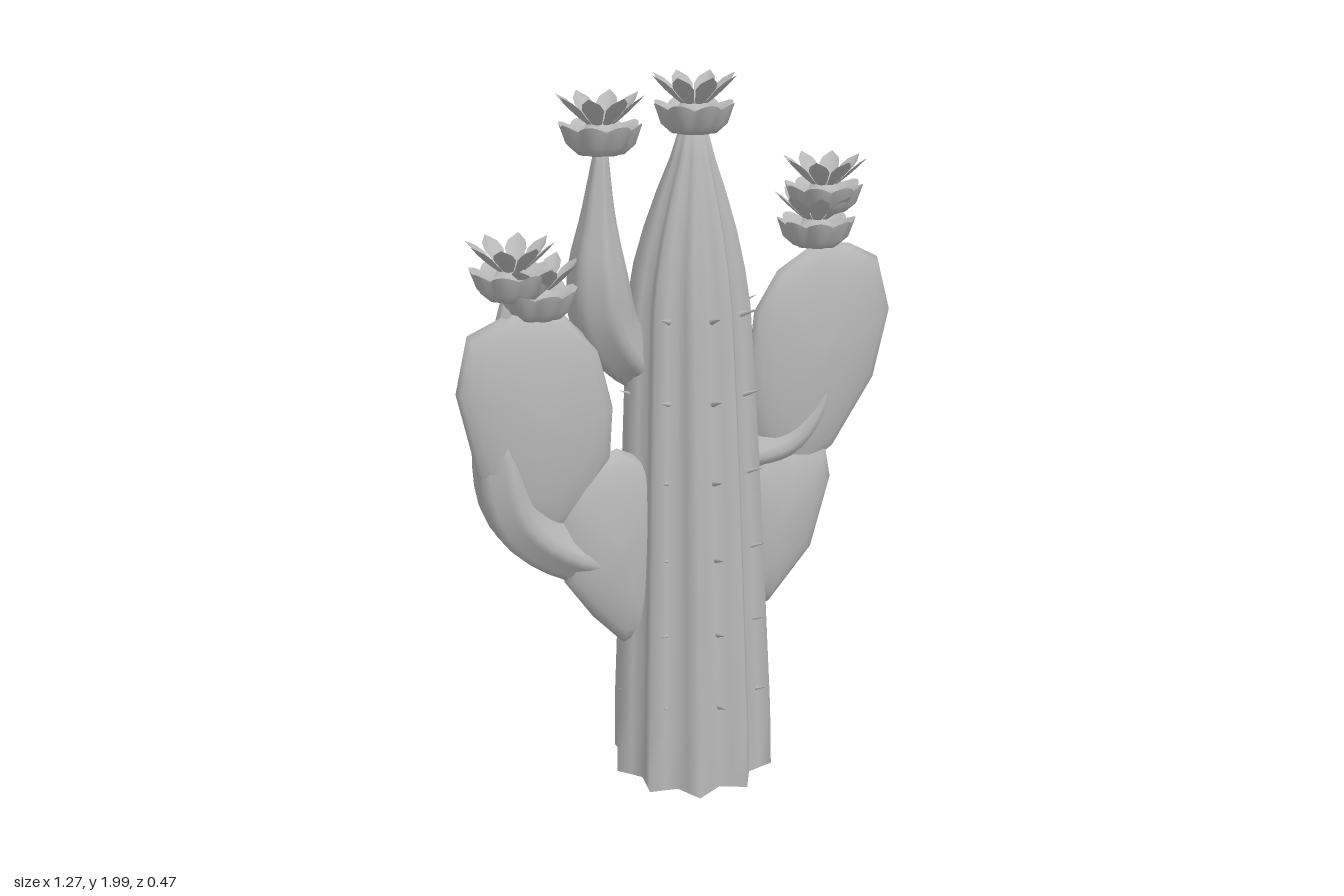
import * as THREE from 'three';
import { mergeGeometries } from 'three/addons/utils/BufferGeometryUtils.js';

const V = (x, y, z = 0) => new THREE.Vector3(x, y, z);

// Skin a stack of closed rings and cap both ends
function loft(rings) {
  const n = rings[0].length, m = rings.length, pos = [], idx = [];
  rings.forEach(r => r.forEach(p => pos.push(p.x, p.y, p.z)));
  for (let i = 0; i < m - 1; i++) {
    for (let j = 0; j < n; j++) {
      const k = (j + 1) % n, a = i * n + j, b = i * n + k, c = b + n, d = a + n;
      idx.push(a, b, c, a, c, d);
    }
  }
  for (const end of [0, m - 1]) {
    const mid = rings[end].reduce((s, p) => s.add(p), V(0, 0)).divideScalar(n);
    const ci = pos.length / 3;
    pos.push(mid.x, mid.y, mid.z);
    for (let j = 0; j < n; j++) {
      const a = end * n + j, b = end * n + (j + 1) % n;
      if (end) idx.push(ci, a, b); else idx.push(ci, b, a);
    }
  }
  const g = new THREE.BufferGeometry();
  g.setAttribute('position', new THREE.Float32BufferAttribute(pos, 3));
  g.setIndex(idx);
  g.computeVertexNormals();
  return g;
}

// Trunk rows: height, rib radius, z drift, rib depth
const trunkRows = [
  [0.01, 0.24, 0, 0.19], [0.01, 0.24, 0, 0.19], [0.2, 0.235, -0.002, 0.19], [0.45, 0.222, -0.006, 0.19],
  [0.75, 0.207, -0.012, 0.19], [1.0, 0.194, -0.018, 0.19], [1.25, 0.18, -0.026, 0.19],
  [1.4, 0.17, -0.03, 0.19], [1.5, 0.153, -0.028, 0.19], [1.6, 0.127, -0.02, 0.18],
  [1.7, 0.094, -0.012, 0.16], [1.79, 0.06, -0.004, 0.12], [1.87, 0.036, 0, 0.06]];
const trunkX = 0.025;

function trunkGeometry() {
  const depth = [0, 0.62, 1, 0.62];
  return loft(trunkRows.map(([y, r, z, d]) => Array.from({ length: 40 }, (_, j) => {
    const a = (j / 40) * Math.PI * 2 + Math.PI / 10, rr = r * (1 - d * depth[j % 4]);
    return V(trunkX + rr * Math.sin(a), y, z + rr * Math.cos(a));
  })));
}

// Ribbed, tapering arm along a spline of [x, y, z, radius]
function armGeometry(knots) {
  const curve = new THREE.CatmullRomCurve3(knots.map(k => V(k[0], k[1], k[2])));
  const radii = new THREE.CatmullRomCurve3(knots.map((k, i) => V(i, k[3])));
  const rings = [], zAxis = V(0, 0, 1), steps = 22;
  for (let i = 0; i <= steps; i++) {
    const t = i / steps, c = curve.getPoint(t), tan = curve.getTangent(t).setZ(0).normalize();
    const side = tan.clone().cross(zAxis);
    const r = radii.getPoint(t).y;
    rings.push(Array.from({ length: 24 }, (_, j) => {
      const a = (j / 24) * Math.PI * 2, rr = r * (0.96 + 0.07 * Math.cos(a * 6));
      return c.clone().addScaledVector(zAxis, 1.25 * rr * Math.cos(a)).addScaledVector(side, rr * Math.sin(a));
    }));
  }
  return loft(rings);
}

// Flat, domed pad from a counter-clockwise outline
function padGeometry(outline, thick) {
  const mid = outline.reduce((s, p) => [s[0] + p[0] / outline.length, s[1] + p[1] / outline.length], [0, 0]);
  const rings = [];
  for (let i = -5; i <= 5; i++) {
    const a = (i / 5) * 1.45, s = Math.cos(a);
    rings.push(outline.map(p => V(mid[0] + (p[0] - mid[0]) * s, mid[1] + (p[1] - mid[1]) * s, thick * Math.sin(a))));
  }
  return loft(rings);
}

// Scalloped lower cup of a flower: rows of radius and height
function cupGeometry() {
  const rows = [[0.03, 0], [0.062, 0.004], [0.09, 0.028], [0.108, 0.075], [0.108, 0.075], [0.085, 0.068], [0.045, 0.05], [0.035, 0.08]];
  return loft(rows.map(([r, y], i) => Array.from({ length: 48 }, (_, j) => {
    const a = (j / 48) * Math.PI * 2, lobe = Math.abs(Math.cos(a * 4));
    const lift = i === 3 || i === 4 ? 0.014 * (lobe - 0.6) : 0;
    const rr = r * (i > 0 && i < 6 ? 0.87 + 0.13 * lobe : 1);
    return V(rr * Math.sin(a), y + lift, rr * Math.cos(a));
  })));
}

// Ring of eight pointed, cupped petals
function petalsGeometry() {
  const rows = [[0.028, 0.072, 0.011], [0.05, 0.088, 0.019], [0.073, 0.108, 0.028], [0.092, 0.126, 0.023], [0.114, 0.149, 0.001]];
  const petal = new THREE.PlaneGeometry(1, 1, 4, 4), p = petal.attributes.position;
  for (let i = 0; i < p.count; i++) {
    const [r, y, w] = rows[Math.floor(i / 5)], u = (i % 5) / 2 - 1;
    p.setXYZ(i, u * w, y + 0.35 * w * u * u, r);
  }
  petal.computeVertexNormals();
  return mergeGeometries(Array.from({ length: 8 }, (_, k) => petal.clone().rotateY(k * Math.PI / 4)));
}

export function createModel() {
  const model = new THREE.Group();
  model.name = 'cactus';
  const grey = new THREE.MeshStandardMaterial({ color: 0xb8b8b8, side: THREE.DoubleSide });
  grey.name = 'plain grey';
  const add = (name, geometry, parent = model) => {
    const mesh = new THREE.Mesh(geometry, grey);
    mesh.name = name;
    parent.add(mesh);
    return mesh;
  };

  add('trunk', trunkGeometry());

  // Arms
  add('leftArm', armGeometry([[0.1, 0.92, -0.09, 0.06], [0.2, 0.94, -0.06, 0.08], [0.32, 0.98, -0.045, 0.085],
    [0.405, 1.1, -0.04, 0.08], [0.43, 1.28, -0.035, 0.055], [0.4, 1.55, -0.01, 0.018]]));
  add('rightArm', armGeometry([[-0.06, 0.67, -0.11, 0.045], [-0.16, 0.675, -0.06, 0.078], [-0.34, 0.735, -0.045, 0.085],
    [-0.475, 0.86, -0.04, 0.088], [-0.515, 1.03, -0.035, 0.075], [-0.52, 1.2, -0.03, 0.045], [-0.48, 1.49, -0.01, 0.014]]));
  add('rightUpperArm', armGeometry([[-0.05, 1.19, -0.12, 0.035], [-0.12, 1.23, -0.08, 0.07], [-0.21, 1.36, -0.05, 0.085],
    [-0.235, 1.5, -0.03, 0.075], [-0.235, 1.66, -0.015, 0.042], [-0.225, 1.83, -0.01, 0.016]]));

  // Pads
  add('leftUpperPad', padGeometry([[0.4, 1.54], [0.28, 1.47], [0.21, 1.36], [0.19, 1.17], [0.21, 1.0], [0.31, 0.87],
    [0.37, 0.87], [0.46, 0.93], [0.59, 1.13], [0.635, 1.33], [0.59, 1.48], [0.5, 1.525]], 0.065));
  add('leftLowerPad', padGeometry([[0.34, 0.98], [0.22, 0.95], [0.16, 0.82], [0.16, 0.62], [0.2, 0.5], [0.26, 0.47],
    [0.4, 0.63], [0.46, 0.85], [0.44, 0.95]], 0.065));
  add('rightUpperPad', padGeometry([[-0.34, 1.41], [-0.47, 1.435], [-0.6, 1.38], [-0.637, 1.23], [-0.59, 1.0], [-0.48, 0.82],
    [-0.38, 0.8], [-0.28, 0.88], [-0.22, 1.0], [-0.21, 1.14], [-0.25, 1.31]], 0.065));
  add('rightLowerPad', padGeometry([[-0.2, 1.02], [-0.33, 0.98], [-0.38, 0.85], [-0.36, 0.65], [-0.28, 0.53], [-0.19, 0.43],
    [-0.13, 0.45], [-0.07, 0.65], [-0.06, 0.85], [-0.12, 0.98]], 0.065));

  // Flowers: x, base height, z, turn
  const cup = cupGeometry(), petals = petalsGeometry();
  const spots = [[0.027, 1.852, 0, 0], [-0.228, 1.812, -0.005, 0.2], [0.415, 1.618, -0.005, 0.1], [0.395, 1.525, -0.005, 0.4],
    [-0.475, 1.462, -0.005, 0.3], [-0.405, 1.405, -0.01, 0]];
  for (const [x, y, z, turn] of spots) {
    const flower = new THREE.Group();
    flower.name = 'flower';
    add('flowerCup', cup, flower);
    add('flowerPetals', petals, flower);
    flower.position.set(x, y, z);
    flower.rotation.y = turn;
    model.add(flower);
  }

  // Spines in eight columns, pointing out and slightly up
  const spine = new THREE.ConeGeometry(0.008, 0.06, 6).rotateX(Math.PI / 2 - 0.35);
  const spines = [];
  for (let row = 0; row < 6; row++) {
    const y = 0.275 + row * 0.223, r = 0.205 - row * 0.006;
    for (let k = 0; k < 8; k++) {
      spines.push(spine.clone().translate(0, y, r).rotateY(k * Math.PI / 4).translate(trunkX, 0, -0.005 * row));
    }
  }
  add('spines', mergeGeometries(spines));

  return model;
}
